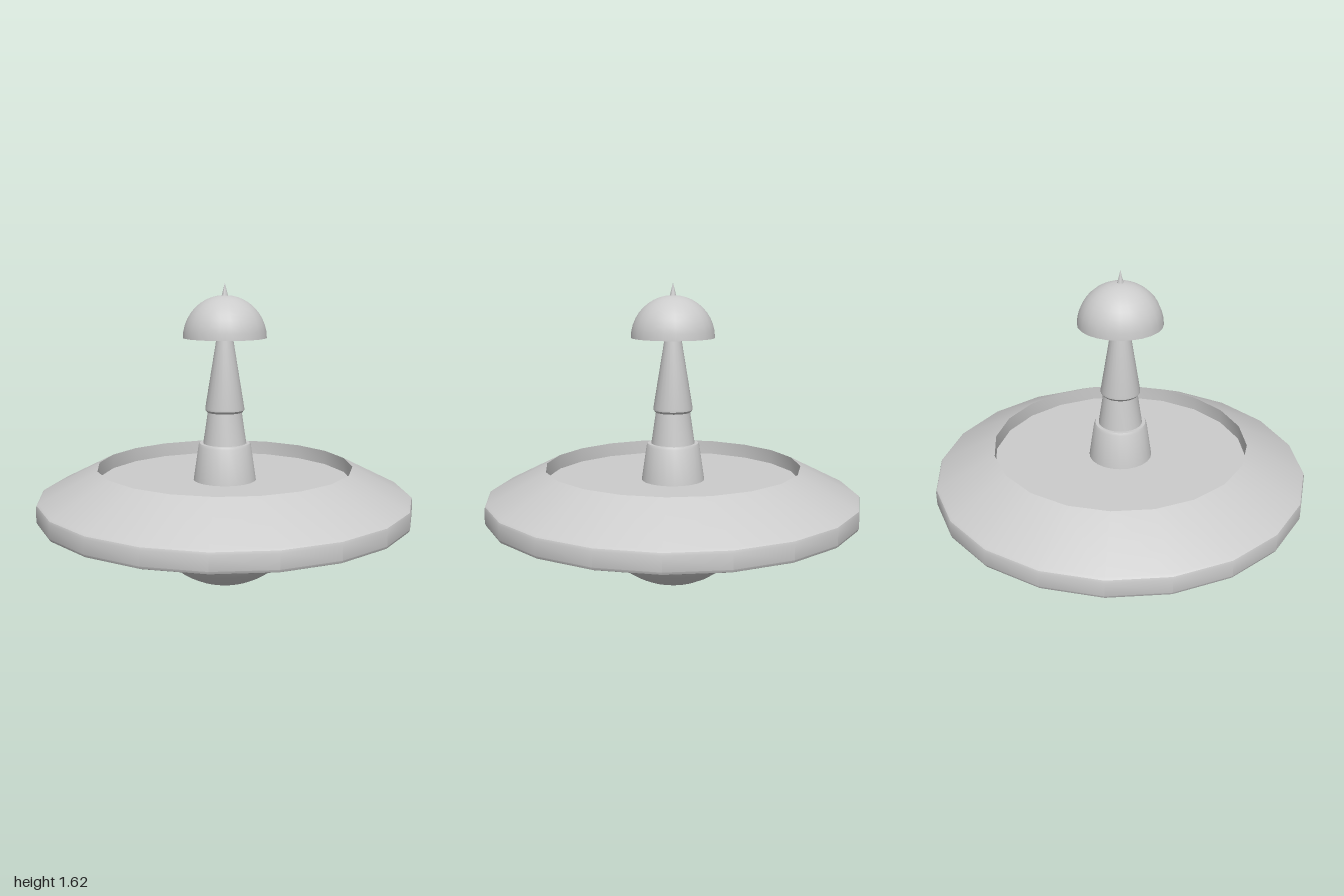
import * as THREE from 'three';
import { toCreasedNormals } from 'three/addons/utils/BufferGeometryUtils.js';

const material = new THREE.MeshStandardMaterial({ color: 0xcccccc });

// Turned part from [radius, y] points, listed so the surface faces outward
function turned(name, points, sides = 20) {
  const profile = points.map(([r, y]) => new THREE.Vector2(r, y));
  const geometry = toCreasedNormals(new THREE.LatheGeometry(profile, sides), 0.5);
  const mesh = new THREE.Mesh(geometry, material);
  mesh.name = name;
  return mesh;
}

// Points of an arc around the axis, angles in degrees above the horizontal
function arc(radius, centerY, from, to, steps) {
  return Array.from({ length: steps + 1 }, (_, i) => {
    const a = THREE.MathUtils.degToRad(from + ((to - from) * i) / steps);
    return [Math.max(0, radius * Math.cos(a)), centerY + radius * Math.sin(a)];
  });
}

export function createModel() {
  const model = new THREE.Group();
  model.name = 'spinningTop';

  // Faceted disc with a rounded rim, sloping shoulder and recessed floor
  model.add(turned('disc', [
    [0, 0.39], [0.982, 0.39], [0.994, 0.395], [1, 0.408],
    [1, 0.482], [0.996, 0.495], [0.985, 0.504],
    [0.68, 0.658], [0.68, 0.58], [0, 0.58],
  ]));

  // Round belly under the disc
  model.add(turned('belly', arc(0.44, 0.445, -90, 0, 12), 24));

  // Stepped, tapering mast
  model.add(turned('mastBase', [
    [0.168, 0.58], [0.141, 0.765], [0.134, 0.778], [0, 0.778],
  ], 24));
  model.add(turned('mastMiddle', [[0.116, 0.775], [0.09, 0.95]], 24));
  model.add(turned('mastTop', [
    [0, 0.945], [0.094, 0.945], [0.104, 0.957], [0.104, 0.968], [0.042, 1.345],
  ], 24));

  // Domed cap with a flat underside
  model.add(turned('cap', [[0, 1.337], ...arc(0.22, 1.337, 0, 90, 10)], 24));

  // Small spike on the cap
  model.add(turned('spike', [[0.019, 1.545], [0, 1.62]], 12));

  return model;
}
